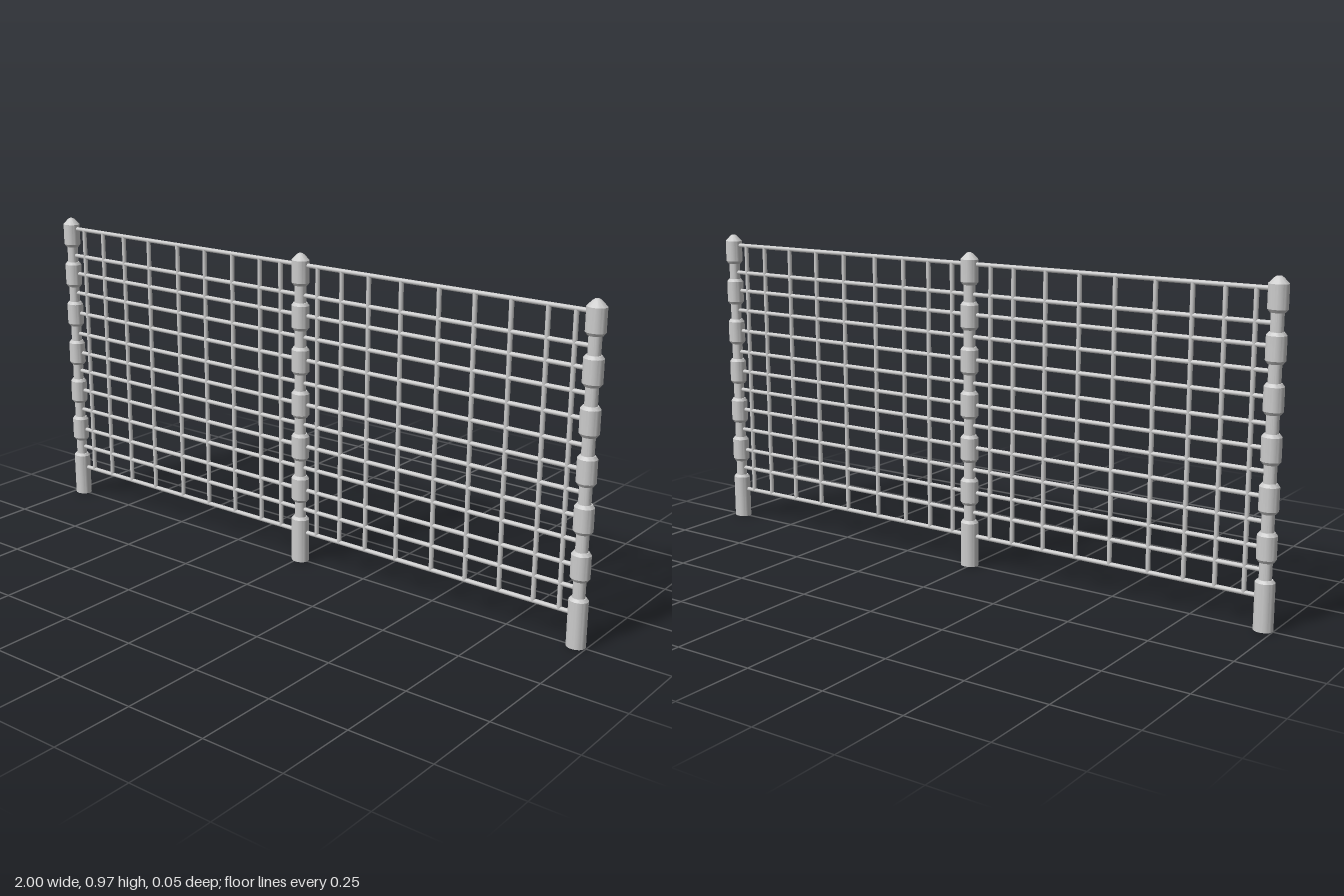
import * as THREE from 'three';
import { toCreasedNormals } from 'three/addons/utils/BufferGeometryUtils.js';

const material = new THREE.MeshStandardMaterial({ color: 0xcccccc });

// Turned post: plain base, six chamfered beads separated by narrow necks, blunt cap
function postGeometry() {
  const body = 0.0245, shoulder = 0.0185, neck = 0.0158, pitch = 0.1362;
  const profile = [[0, 0], [body, 0], [body, 0.138], [shoulder, 0.146], [neck, 0.146]];
  for (let i = 0; i < 6; i++) {
    const y = i * pitch;
    profile.push([neck, y + 0.195], [shoulder, y + 0.195], [body, y + 0.204], [body, y + 0.271]);
    if (i < 5) profile.push([shoulder, y + 0.28], [neck, y + 0.28]);
  }
  profile.push([0.011, 0.968], [0.006, 0.972], [0, 0.972]);
  const points = profile.map(([r, y]) => new THREE.Vector2(r, y));
  const geometry = new THREE.LatheGeometry(points, 24);
  geometry.scale(1.17, 1, 1); // slightly oval in plan
  return toCreasedNormals(geometry, 0.35);
}

export function createModel() {
  const group = new THREE.Group();
  const add = (name, geometry, x, y) => {
    const mesh = new THREE.Mesh(geometry, material);
    mesh.name = name;
    mesh.position.set(x, y, 0);
    group.add(mesh);
  };

  // Posts
  const postX = [-0.971, 0.007, 0.969];
  const post = postGeometry();
  postX.forEach((x) => add('post', post, x, 0));

  // Horizontal rails, one set per panel
  const railY = [0.096, 0.171, 0.235, 0.307, 0.377, 0.446, 0.51, 0.577, 0.649, 0.719, 0.786, 0.847, 0.938];
  for (let p = 0; p < 2; p++) {
    const length = postX[p + 1] - postX[p];
    const rail = new THREE.CylinderGeometry(0.0067, 0.0067, length, 12).rotateZ(Math.PI / 2);
    railY.forEach((y) => add('rail', rail, postX[p] + length / 2, y));
  }

  // Vertical bars, same uneven spacing in both panels
  const barX = [-0.91, -0.822, -0.726, -0.614, -0.488, -0.373, -0.26, -0.15, -0.069];
  const bottom = railY[0], top = railY[railY.length - 1];
  const bar = new THREE.CylinderGeometry(0.007, 0.007, top - bottom, 12);
  for (const shift of [0, 0.981]) {
    barX.forEach((x) => add('verticalBar', bar, x + shift, (top + bottom) / 2));
  }
  return group;
}
